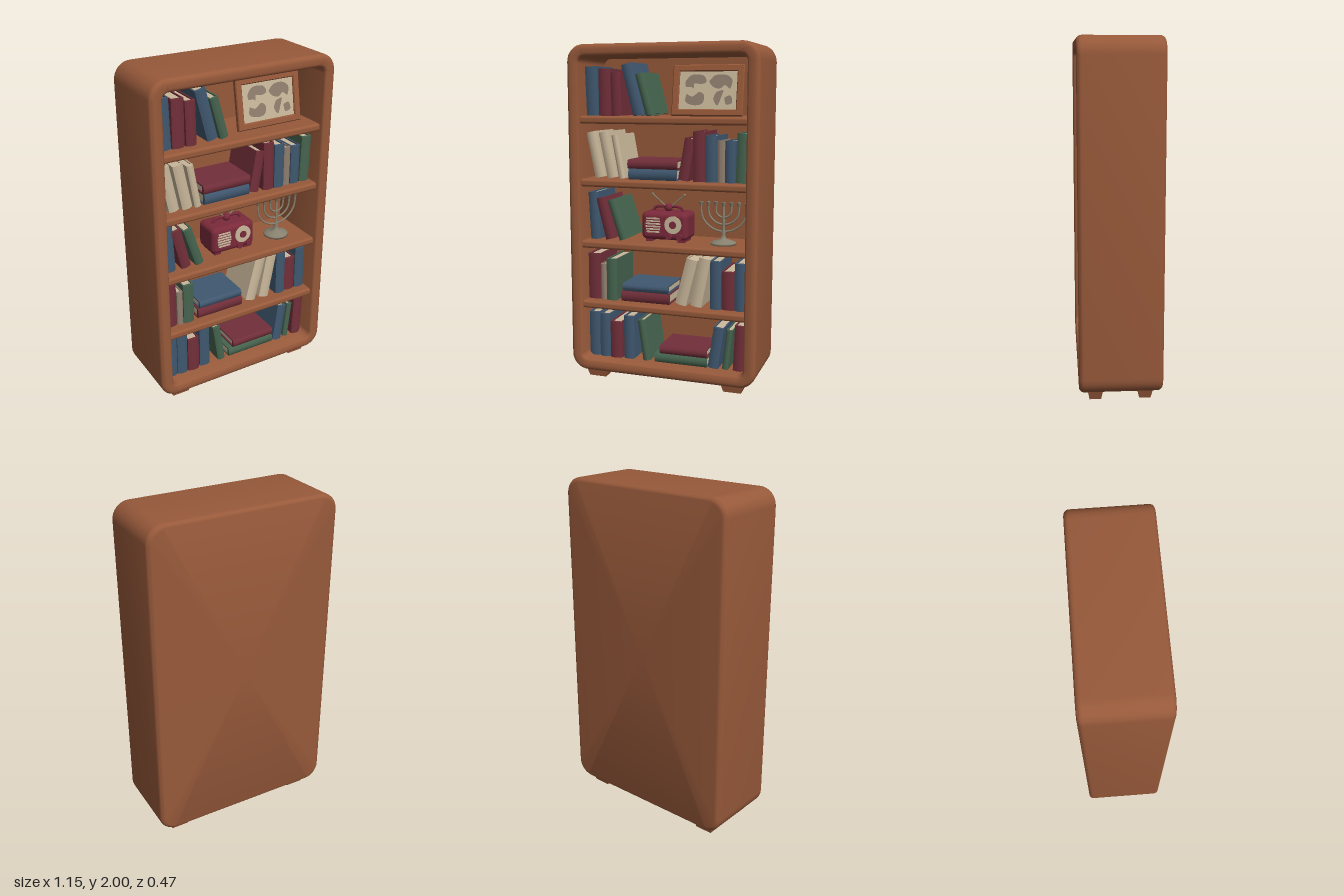
import * as THREE from 'three';
import { toCreasedNormals } from 'three/addons/utils/BufferGeometryUtils.js';
import { RoundedBoxGeometry } from 'three/addons/geometries/RoundedBoxGeometry.js';

const mat = (name, color) => Object.assign(new THREE.MeshStandardMaterial({ color }), { name });

export function createModel() {
  const model = new THREE.Group();
  model.name = 'bookcase';
  const wood = mat('wood', 0x97593a), blue = mat('blueCover', 0x405870), red = mat('redCover', 0x722f3a);
  const green = mat('greenCover', 0x46644f), cream = mat('cream', 0xc9b79a), taupe = mat('taupe', 0x8f7e6d);
  const metal = mat('metal', 0x88816f), plum = mat('radioShell', 0x7a2a3a);

  const add = (parent, name, geo, material, x = 0, y = 0, z = 0) => {
    const m = new THREE.Mesh(geo, material);
    m.name = name;
    m.position.set(x, y, z);
    parent.add(m);
    return m;
  };
  const group = (parent, name, x, y, z) => {
    const g = new THREE.Group();
    g.name = name;
    g.position.set(x, y, z);
    parent.add(g);
    return g;
  };

  // Cabinet: rounded rectangle rings from the back centre, round the outside, and into the hollow
  const ring = (hw, hh, r, z) => {
    const pts = [];
    [[1, 1], [-1, 1], [-1, -1], [1, -1]].forEach(([sx, sy], q) => {
      for (let i = 0; i <= 8; i++) {
        const a = (q + i / 8) * Math.PI / 2;
        pts.push([sx * (hw - r) + r * Math.cos(a), 1.025 + sy * (hh - r) + r * Math.sin(a), z]);
      }
    });
    return pts;
  };
  const W = 0.573, H = 0.975, rings = [ring(0, 0, 0, -0.235)];
  const outer = (inset, z) => rings.push(ring(W - inset, H - inset, 0.1 - inset, z));
  for (let i = 0; i <= 5; i++) {
    const a = i / 5 * Math.PI / 2;
    outer(0.03 * (1 - Math.sin(a)), -0.205 - 0.03 * Math.cos(a));
  }
  for (let i = 0; i <= 5; i++) {
    const a = i / 5 * Math.PI / 2;
    outer(0.028 * (1 - Math.cos(a)), 0.204 + 0.028 * Math.sin(a));
  }
  for (let i = 0; i <= 4; i++) {
    const a = i / 4 * Math.PI / 2, s = 0.02 * (1 - Math.sin(a));
    rings.push(ring(0.5 + s, 0.905 + s, 0.04 + s, 0.212 + 0.02 * Math.cos(a)));
  }
  rings.push(ring(0.5, 0.905, 0.04, -0.16), ring(0, 0, 0, -0.16));
  const n = rings[0].length, index = [];
  for (let i = 0; i < rings.length - 1; i++) {
    for (let j = 0; j < n; j++) {
      const k = (j + 1) % n, a = i * n + j, b = i * n + k, c = b + n, d = a + n;
      index.push(a, b, c, a, c, d);
    }
  }
  const shell = new THREE.BufferGeometry();
  shell.setAttribute('position', new THREE.Float32BufferAttribute(rings.flat(2), 3));
  shell.setIndex(index);
  add(model, 'cabinet', toCreasedNormals(shell, 0.8), wood);

  // Shelves with soft front edges
  for (const y of [0.48, 0.85, 1.22, 1.59]) {
    add(model, 'shelf', new RoundedBoxGeometry(1.02, 0.045, 0.37, 3, 0.015), wood, 0, y - 0.0225, 0.022);
  }

  // Tapered feet
  for (const x of [-0.425, 0.425]) for (const z of [-0.14, 0.14]) {
    const foot = add(model, 'foot', new THREE.CylinderGeometry(0.707, 0.52, 1, 4).rotateY(Math.PI / 4).toNonIndexed(), wood, x, 0.03, z);
    foot.geometry.computeVertexNormals();
    foot.scale.set(0.145, 0.06, 0.088);
  }

  // Book: a cover wrapped round a page block, spine towards the front
  const book = (name, cover, w, h, d) => {
    const g = new THREE.Group(), t = Math.min(0.008, w / 6), b = 0.01;
    g.name = name;
    const s = new THREE.Shape();
    s.moveTo(0, d / 2);
    s.lineTo(0, b - d / 2);
    s.quadraticCurveTo(w / 2, -b - d / 2, w, b - d / 2);
    s.lineTo(w, d / 2);
    s.lineTo(w - t, d / 2);
    s.lineTo(w - t, 2 * b - d / 2);
    s.lineTo(t, 2 * b - d / 2);
    s.lineTo(t, d / 2);
    const geo = new THREE.ExtrudeGeometry(s, { depth: h, bevelEnabled: false, curveSegments: 6 }).rotateX(-Math.PI / 2);
    add(g, 'cover', toCreasedNormals(geo, 0.7), cover);
    add(g, 'pages', new THREE.BoxGeometry(w - 2 * t, h - 0.016, d - 0.03), cream, w / 2, h / 2, -0.005);
    return g;
  };
  // Standing books: left edge, width, height, cover, lean (positive leans to -x)
  const standing = {
    1.59: [[-0.49, 0.075, 0.285, blue, 0.03], [-0.41, 0.073, 0.272, red, 0], [-0.328, 0.062, 0.25, red, 0.02],
      [-0.195, 0.065, 0.3, blue, 0.25], [-0.115, 0.05, 0.245, green, 0.27]],
    1.22: [[-0.44, 0.062, 0.275, cream, 0.2], [-0.36, 0.062, 0.275, cream, 0.2], [-0.285, 0.04, 0.26, cream, 0.18],
      [0.078, 0.06, 0.245, red, -0.17], [0.17, 0.068, 0.287, red, 0], [0.242, 0.066, 0.265, blue, 0],
      [0.311, 0.045, 0.235, taupe, 0], [0.359, 0.06, 0.237, blue, 0], [0.422, 0.065, 0.28, green, -0.03]],
    0.85: [[-0.475, 0.062, 0.285, blue, 0.05], [-0.375, 0.06, 0.255, red, 0.24], [-0.285, 0.052, 0.25, green, 0.31]],
    0.48: [[-0.495, 0.078, 0.28, red, 0], [-0.414, 0.038, 0.22, taupe, 0], [-0.373, 0.067, 0.255, green, 0],
      [0.06, 0.068, 0.285, cream, -0.25], [0.155, 0.068, 0.295, cream, -0.19], [0.278, 0.064, 0.285, blue, 0],
      [0.345, 0.075, 0.227, red, 0], [0.423, 0.068, 0.28, blue, 0]],
    0.12: [[-0.494, 0.07, 0.275, blue, 0], [-0.422, 0.066, 0.27, blue, 0], [-0.352, 0.074, 0.227, red, 0],
      [-0.266, 0.066, 0.267, blue, 0], [-0.14, 0.048, 0.25, green, 0.14], [0.267, 0.062, 0.25, blue, -0.14],
      [0.352, 0.036, 0.24, green, -0.11], [0.418, 0.066, 0.272, red, -0.04]],
  };
  for (const [y, books] of Object.entries(standing)) {
    books.forEach(([x, w, h, cover, lean], i) => {
      const pivot = group(model, 'standingBook', lean < 0 ? x + w : x, Number(y), 0.005 + (i % 3) * 0.004);
      const b = book('book', cover, w, h, 0.27);
      b.position.x = lean < 0 ? -w : 0;
      pivot.rotation.z = lean;
      pivot.add(b);
    });
  }
  // Books lying flat: left edge, bottom, length, thickness, cover
  for (const [x, y, len, t, cover] of [
    [-0.225, 1.22, 0.295, 0.064, blue], [-0.23, 1.284, 0.305, 0.053, red],
    [-0.278, 0.48, 0.305, 0.064, red], [-0.267, 0.544, 0.288, 0.048, blue],
    [-0.065, 0.12, 0.325, 0.056, green], [-0.033, 0.176, 0.292, 0.05, red]]) {
    const b = book('lyingBook', cover, t, len, 0.25);
    b.position.set(x, y + t, 0.02);
    b.rotation.z = -Math.PI / 2;
    model.add(b);
  }

  // Framed map leaning on the back wall
  const rect = (w, h, T = THREE.Shape) => new T([[-w, -h], [w, -h], [w, h], [-w, h]].map(p => new THREE.Vector2(...p)));
  const picture = group(model, 'framedMap', 0.235, 1.59, 0.075);
  picture.rotation.x = -0.17;
  const frame = rect(0.21, 0.146);
  frame.holes.push(rect(0.17, 0.108, THREE.Path));
  add(picture, 'pictureFrame', new THREE.ExtrudeGeometry(frame, { depth: 0.02, bevelSize: 0.005, bevelOffset: -0.005, bevelThickness: 0.006, bevelSegments: 1 }), wood, 0, 0.146, 0);
  add(picture, 'mapSheet', new THREE.BoxGeometry(0.35, 0.225, 0.012), cream, 0, 0.146, 0.008);
  const lands = [
    [[-0.135, 0.05], [-0.1, 0.088], [-0.03, 0.085], [-0.01, 0.05], [-0.04, 0.035], [-0.08, 0.04], [-0.085, 0.012], [-0.1, 0.02], [-0.13, 0.02]],
    [[-0.125, -0.02], [-0.09, -0.035], [-0.05, -0.01], [-0.02, -0.03], [-0.03, -0.075], [-0.08, -0.085], [-0.13, -0.065]],
    [[0.005, 0.05], [0.04, 0.085], [0.1, 0.088], [0.14, 0.06], [0.13, 0.01], [0.1, 0.03], [0.07, 0.01], [0.03, 0.02]],
    [[0.05, -0.01], [0.09, 0.0], [0.08, -0.04], [0.06, -0.085], [0.035, -0.05]],
    [[0.1, -0.04], [0.135, -0.03], [0.145, -0.07], [0.11, -0.08]]];
  for (const pts of lands) {
    const curve = new THREE.SplineCurve([...pts, pts[0]].map(p => new THREE.Vector2(...p)));
    add(picture, 'mapLand', new THREE.ShapeGeometry(new THREE.Shape(curve.getPoints(32))), taupe, 0, 0.146, 0.0165);
  }

  // Table radio
  const radio = group(model, 'radio', -0.015, 0.85, 0.025);
  add(radio, 'radioBody', new RoundedBoxGeometry(0.285, 0.165, 0.18, 4, 0.03), plum, 0, 0.096, 0);
  for (const x of [-0.1, 0.1]) add(radio, 'radioFoot', new THREE.BoxGeometry(0.04, 0.022, 0.14), plum, x, 0.011, 0);
  const tube = (parent, name, pts, r, material) =>
    add(parent, name, new THREE.TubeGeometry(new THREE.CatmullRomCurve3(pts.map(p => new THREE.Vector3(...p))), 24, r, 8), material);
  tube(radio, 'handle', [[-0.095, 0.17, 0], [-0.08, 0.198, 0], [0, 0.204, 0], [0.08, 0.198, 0], [0.095, 0.17, 0]], 0.009, plum);
  add(radio, 'aerialBase', new THREE.SphereGeometry(0.025, 16, 8), plum, 0, 0.198, 0);
  for (const s of [-1, 1]) {
    tube(radio, 'aerial', [[s * 0.012, 0.2, 0], [s * 0.055, 0.237, 0], [s * 0.1, 0.275, 0]], 0.0045, metal);
    add(radio, 'aerialTip', new THREE.SphereGeometry(0.008, 10, 8), metal, s * 0.1, 0.275, 0);
  }
  for (let i = 0; i < 6; i++) {
    add(radio, 'grilleBar', new THREE.BoxGeometry(0.095 - Math.abs(i - 2.5) * 0.006, 0.009, 0.008), cream, -0.067, 0.062 + i * 0.016, 0.091);
  }
  const disc = (name, r, depth, material, x, y, z) =>
    add(radio, name, new THREE.CylinderGeometry(r, r, depth, 24).rotateX(Math.PI / 2), material, x, y, z);
  disc('dial', 0.052, 0.009, cream, 0.058, 0.108, 0.092);
  disc('dialCentre', 0.022, 0.012, plum, 0.058, 0.108, 0.094);
  for (const x of [0.035, 0.098]) disc('knob', 0.018, 0.02, plum, x, 0.038, 0.094);

  // Branched candle holder
  const holder = group(model, 'candleHolder', 0.33, 0.85, 0.045);
  const profile = [[0, 0], [0.076, 0], [0.074, 0.012], [0.05, 0.022], [0.018, 0.032], [0.009, 0.06], [0.016, 0.07],
    [0.008, 0.08], [0.007, 0.13], [0.012, 0.138], [0.007, 0.146], [0.006, 0.225], [0, 0.225]];
  add(holder, 'stem', new THREE.LatheGeometry(profile.map(p => new THREE.Vector2(...p)), 20), metal);
  const cup = x => add(holder, 'candleCup', new THREE.CylinderGeometry(0.014, 0.007, 0.024, 12), metal, x, 0.235, 0);
  cup(0);
  for (const r of [0.046, 0.091, 0.136]) {
    const arc = [];
    for (let i = 0; i <= 12; i++) {
      const a = Math.PI * (1 + i / 12);
      arc.push([r * Math.cos(a), 0.2 + r * Math.sin(a) * 0.92, 0]);
    }
    tube(holder, 'branch', [[-r, 0.23, 0], ...arc, [r, 0.23, 0]], 0.0058, metal);
    cup(-r);
    cup(r);
  }
  return model;
}
